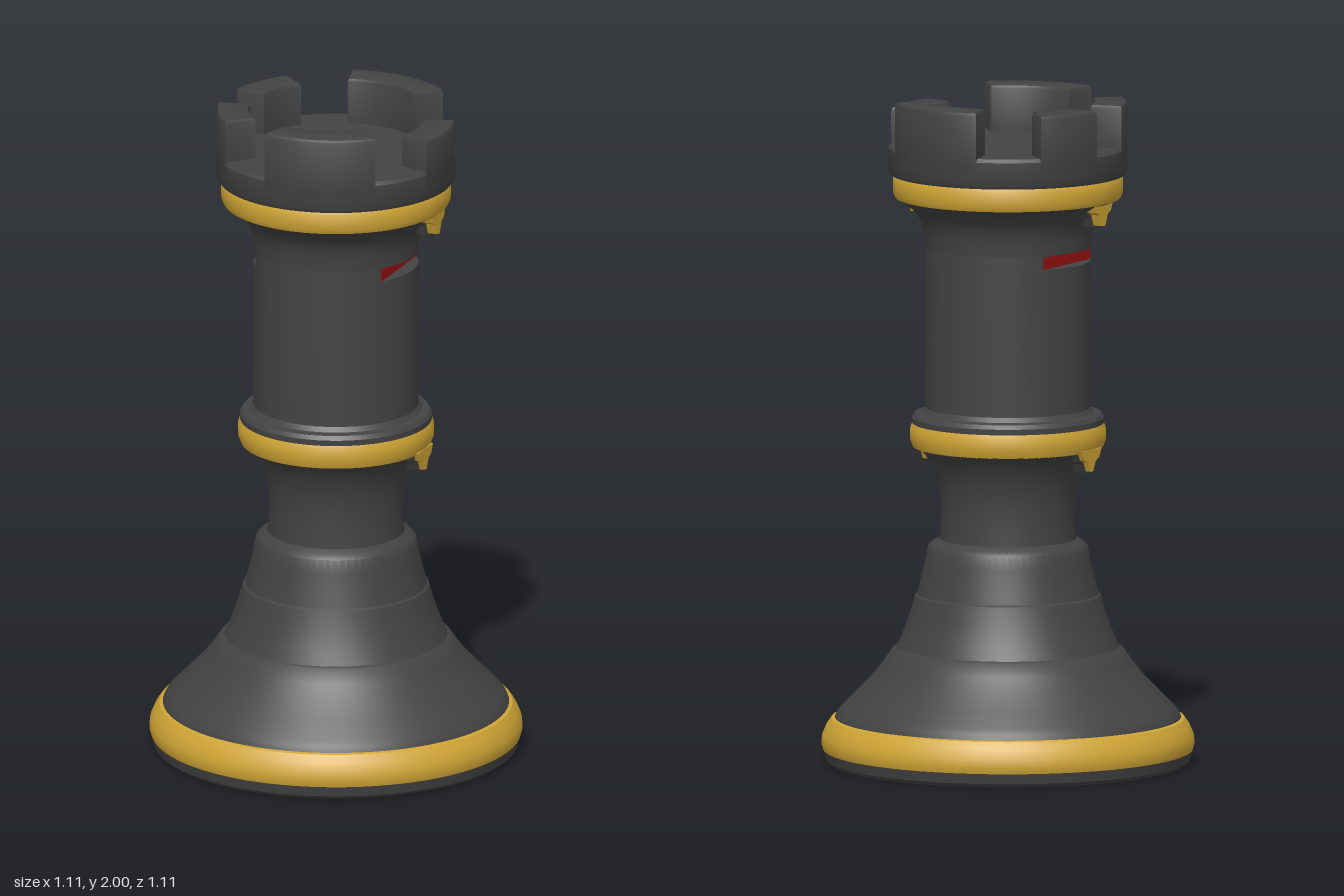
import * as THREE from 'three';
import { toCreasedNormals } from 'three/addons/utils/BufferGeometryUtils.js';

export function createModel() {
  const root = new THREE.Group();
  root.name = 'rookTower';
  const material = (name, color) => {
    const m = new THREE.MeshStandardMaterial({ color });
    m.name = name;
    return m;
  };
  const stone = material('darkStone', 0x434343);
  const gold = material('gold', 0xd0a535);
  const red = material('red', 0x9c1010);

  const add = (name, geometry, mat, parent = root) => {
    const mesh = new THREE.Mesh(toCreasedNormals(geometry, 0.6), mat);
    mesh.name = name;
    parent.add(mesh);
    return mesh;
  };
  // Turned part from [radius, height] pairs, listed bottom to top
  const turned = (name, points, mat) =>
    add(name, new THREE.LatheGeometry(points.map(([r, y]) => new THREE.Vector2(r, y)), 72), mat);
  // Flat plan shape raised upwards; plan angles run from +x towards -z
  const raised = (shape, y, options) =>
    new THREE.ExtrudeGeometry(shape, { curveSegments: 20, bevelEnabled: false, ...options })
      .rotateX(-Math.PI / 2).translate(0, y, 0);

  // Foot and stepped, flaring base
  turned('footPlate', [[0, 0], [0.525, 0], [0.542, 0.012], [0.55, 0.045]], stone);
  turned('footBand', [[0.55, 0.043], [0.555, 0.06], [0.553, 0.085], [0.54, 0.115], [0.525, 0.136], [0.505, 0.141]], gold);
  turned('flaredBase', [
    [0.515, 0.139], [0.508, 0.155], [0.495, 0.17], [0.45, 0.215], [0.405, 0.262], [0.368, 0.308], [0.343, 0.345],
    [0.331, 0.35], [0.312, 0.395], [0.292, 0.45], [0.277, 0.505],
    [0.27, 0.51], [0.258, 0.56], [0.246, 0.61], [0.238, 0.652], [0.226, 0.664], [0.204, 0.676],
  ], stone);

  // Neck, collar and column up to the eye slits
  turned('neck', [[0.203, 0.66], [0.2, 0.72], [0.2, 0.79], [0.207, 0.84], [0.222, 0.885], [0.243, 0.925], [0.262, 0.945], [0.285, 0.953]], stone);
  turned('collarBand', [[0.27, 0.95], [0.283, 0.952], [0.292, 0.975], [0.292, 1.005], [0.284, 1.025], [0.27, 1.027]], gold);
  turned('collarRim', [[0.285, 1.023], [0.286, 1.04], [0.277, 1.052], [0.256, 1.056], [0.245, 1.07]], stone);
  turned('column', [[0.245, 1.05], [0.245, 1.28], [0.245, 1.51], [0, 1.51]], stone);

  // Slice of column cut flat at both sides to form the slits
  const cut = Math.acos(0.2 / 0.245);
  const slice = new THREE.Shape();
  slice.absarc(0, 0, 0.245, cut, Math.PI - cut);
  slice.absarc(0, 0, 0.245, Math.PI + cut, 2 * Math.PI - cut);
  add('slitCore', raised(slice, 1.51, { depth: 0.045 }), stone);

  // Flaring head and crown
  turned('head', [[0, 1.552], [0.247, 1.552], [0.25, 1.59], [0.257, 1.625], [0.275, 1.655], [0.3, 1.68], [0.335, 1.7]], stone);
  turned('crownBand', [[0.3, 1.697], [0.335, 1.7], [0.342, 1.715], [0.342, 1.76], [0.335, 1.772]], gold);
  turned('crown', [[0.325, 1.768], [0.348, 1.77], [0.355, 1.782], [0.355, 1.85], [0.346, 1.86], [0, 1.86]], stone);

  // Battlements: start and end angle in degrees, top height
  const merlons = [
    [-18.5, 18.5, 1.96], [48.5, 104.5, 2.0], [136, 168, 1.99],
    [192, 224, 1.99], [255.5, 311.5, 2.0],
  ];
  const bevel = 0.012;
  merlons.forEach(([from, to, top], i) => {
    const a = THREE.MathUtils.degToRad(from), b = THREE.MathUtils.degToRad(to);
    const plan = new THREE.Shape();
    plan.absarc(0, 0, 0.355, a, b, false);
    plan.absarc(0, 0, 0.258, b, a, true);
    add('battlement' + (i + 1), raised(plan, 1.82, {
      depth: top - 1.82 - bevel, bevelEnabled: true, bevelThickness: bevel,
      bevelSize: bevel, bevelOffset: -bevel, bevelSegments: 2,
    }), stone);
  });

  // Pointed pendant below a band, facing +x
  const pendant = (w, top, bottom, x0, x1) => {
    const h = top - bottom;
    const s = new THREE.Shape();
    s.moveTo(-w, top);
    s.lineTo(-w * 0.75, top - h * 0.42);
    s.lineTo(-w * 0.4, top - h * 0.55);
    s.lineTo(-w * 0.14, bottom);
    s.lineTo(w * 0.14, bottom);
    s.lineTo(w * 0.4, top - h * 0.55);
    s.lineTo(w * 0.75, top - h * 0.42);
    s.lineTo(w, top);
    return new THREE.ExtrudeGeometry(s, { depth: x1 - x0, bevelEnabled: false })
      .rotateY(Math.PI / 2).translate(x0, 0, 0);
  };

  // Eye slit and pendants, repeated on both sides
  for (const [name, turn] of [['left', 0], ['right', Math.PI]]) {
    const side = new THREE.Group();
    side.name = name + 'SideDetails';
    side.rotation.y = turn;
    root.add(side);
    add('eyeSlit', new THREE.BoxGeometry(0.006, 0.034, 0.27).translate(0.2, 1.528, 0), red, side);
    add('crownPendant', pendant(0.055, 1.71, 1.635, 0.29, 0.33), gold, side);
    add('crownPendantBacking', pendant(0.05, 1.7, 1.63, 0.24, 0.298), stone, side);
    add('collarPendant', pendant(0.058, 0.96, 0.895, 0.265, 0.288), gold, side);
    add('collarPendantBacking', pendant(0.053, 0.95, 0.89, 0.2, 0.272), stone, side);
  }
  return root;
}
